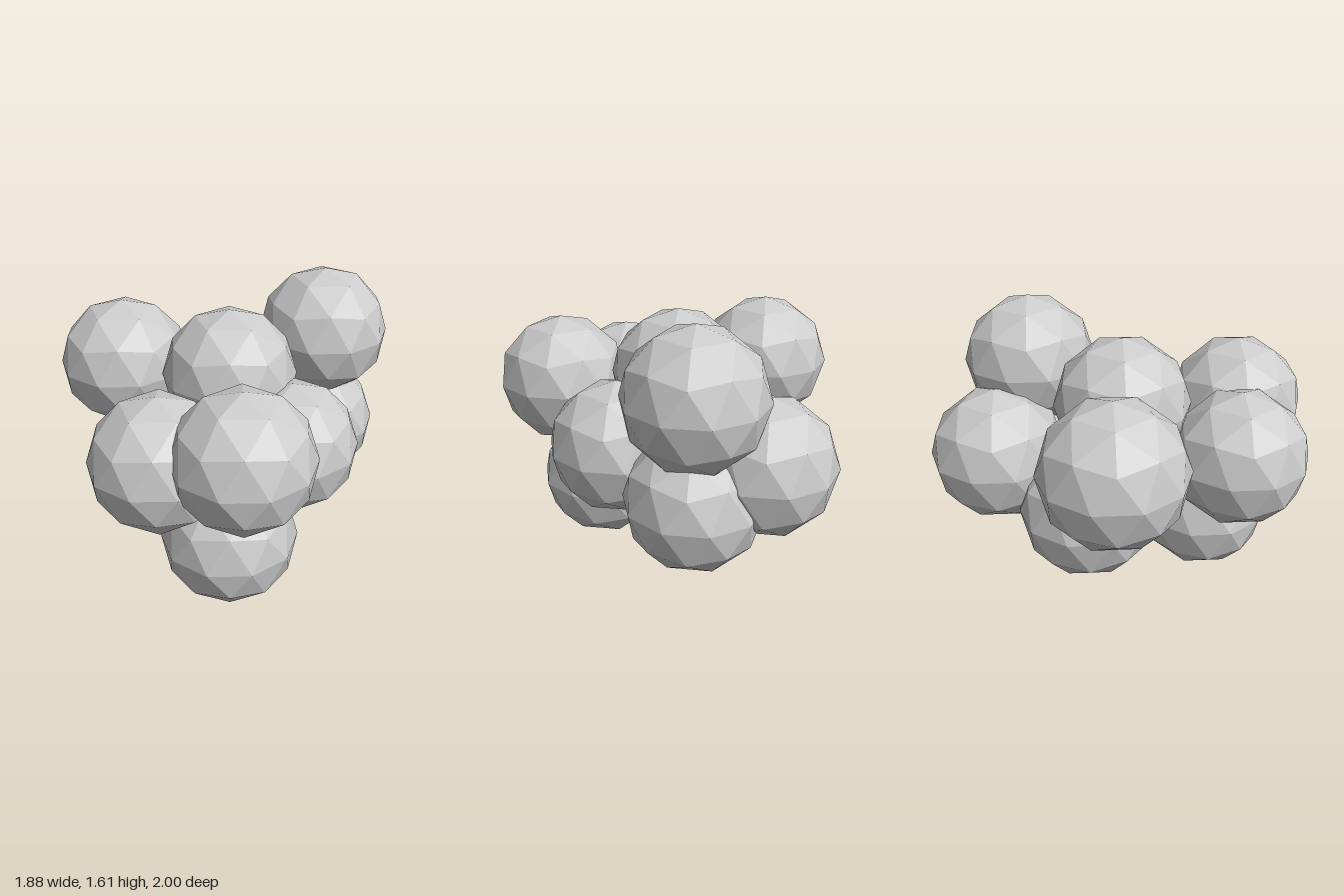
import * as THREE from 'three';

const RADIUS = 0.378;

// Centres of the balls in the cluster
const BALLS = {
  frontUpperBall: [-0.23, 1.0, 0.62],
  frontLowerBall: [-0.23, 0.378, 0.385],
  rightFrontBall: [-0.58, 0.875, 0.3],
  rightBackBall: [-0.56, 1.074, -0.555],
  topMiddleBall: [-0.06, 1.12, -0.095],
  leftUpperBall: [0.58, 1.23, -0.26],
  leftMiddleBall: [0.196, 0.777, 0.213],
  leftLowerBall: [0.53, 0.648, -0.26],
  leftBackBall: [0.4, 0.815, -0.62],
  backLowerBall: [-0.106, 0.583, -0.378],
};

export function createModel() {
  const cluster = new THREE.Group();
  cluster.name = 'ballCluster';

  // Faceted ball, turned so that a vertex points straight up
  const geometry = new THREE.IcosahedronGeometry(RADIUS, 1);
  const golden = (1 + Math.sqrt(5)) / 2;
  geometry.rotateZ(-Math.atan(1 / golden));
  geometry.computeVertexNormals();
  const material = new THREE.MeshStandardMaterial({ color: 0xcccccc, flatShading: true });

  for (const [name, centre] of Object.entries(BALLS)) {
    const ball = new THREE.Mesh(geometry, material);
    ball.name = name;
    ball.position.set(...centre);
    cluster.add(ball);
  }
  return cluster;
}
